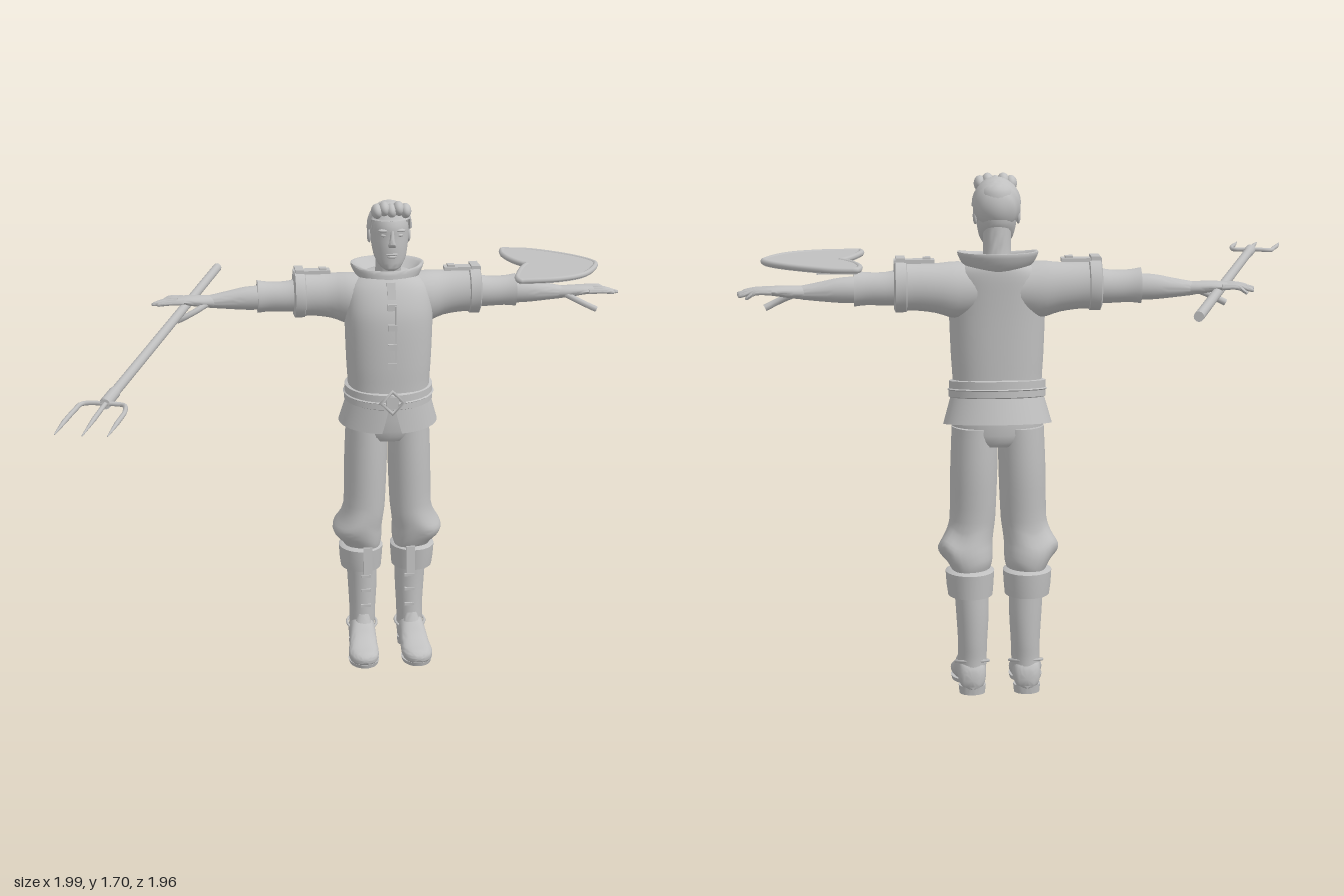
import * as THREE from 'three';
import { toCreasedNormals } from 'three/addons/utils/BufferGeometryUtils.js';
import { ParametricGeometry } from 'three/addons/geometries/ParametricGeometry.js';

const clay = new THREE.MeshStandardMaterial({ color: 0xc0c0c0, side: THREE.DoubleSide });
clay.name = 'clay grey';

// Smooth skin over elliptical sections [t, centreA, centreB, radiusA, radiusB] along one axis.
function loft(sections, { axis = 'y', sub = 3, seg = 28, power = 2, bend = null } = {}) {
  const rings = [];
  const at = i => sections[Math.min(Math.max(i, 0), sections.length - 1)];
  for (let i = 0; i < sections.length - 1; i++) {
    for (let k = 0; k < sub; k++) {
      const u = k / sub;
      rings.push(at(i).map((p1, c) => {
        const p0 = at(i - 1)[c], p2 = at(i + 1)[c], p3 = at(i + 2)[c];
        return p1 + 0.5 * u * (p2 - p0 + u * (2 * p0 - 5 * p1 + 4 * p2 - p3 + u * (3 * (p1 - p2) + p3 - p0)));
      }));
    }
  }
  rings.push(sections[sections.length - 1]);
  const pos = [], idx = [], n = rings.length;
  const add = (t, a, b) => {
    const p = axis === 'y' ? new THREE.Vector3(a, t, b) : axis === 'x' ? new THREE.Vector3(t, a, b) : new THREE.Vector3(a, b, t);
    if (bend) bend(p);
    pos.push(p.x, p.y, p.z);
  };
  const round = v => Math.sign(v) * Math.abs(v) ** (2 / power);
  const tri = (a, b, c) => (axis === 'y' ? idx.push(a, b, c) : idx.push(a, c, b));
  for (const [t, a, b, ra, rb] of rings) {
    for (let j = 0; j < seg; j++) {
      const w = (j / seg) * Math.PI * 2;
      add(t, a + ra * round(Math.cos(w)), b + rb * round(Math.sin(w)));
    }
  }
  add(...rings[0].slice(0, 3));
  add(...rings[n - 1].slice(0, 3));
  for (let j = 0; j < seg; j++) {
    const k = (j + 1) % seg;
    for (let i = 0; i < n - 1; i++) {
      const a = i * seg + j, b = i * seg + k;
      tri(a, a + seg, b);
      tri(b, a + seg, b + seg);
    }
    tri(n * seg, j, k);
    tri(n * seg + 1, (n - 1) * seg + k, (n - 1) * seg + j);
  }
  const g = new THREE.BufferGeometry();
  g.setAttribute('position', new THREE.Float32BufferAttribute(pos, 3));
  g.setIndex(idx);
  return toCreasedNormals(g, 0.9);
}

const v3 = p => new THREE.Vector3(...p);
const tube = (pts, r, seg = 12) => new THREE.TubeGeometry(new THREE.CatmullRomCurve3(pts.map(v3)), seg, r, 8);
const ball = (x, y, z, rx, ry, rz) => new THREE.SphereGeometry(1, 20, 14).scale(rx, ry, rz).translate(x, y, z);
const box = (x, y, z, w, h, d, tilt = 0) => new THREE.BoxGeometry(w, h, d).rotateX(tilt).translate(x, y, z);

function mirrored(geo) {
  const g = geo.index ? geo.toNonIndexed() : geo.clone();
  g.scale(-1, 1, 1);
  for (const name of ['position', 'normal']) {
    const a = g.attributes[name];
    for (let i = 0; i < a.count; i += 3) {
      const p = [a.getX(i + 1), a.getY(i + 1), a.getZ(i + 1)];
      a.setXYZ(i + 1, a.getX(i + 2), a.getY(i + 2), a.getZ(i + 2));
      a.setXYZ(i + 2, ...p);
    }
  }
  return g;
}

export function createModel() {
  const model = new THREE.Group();
  const body = new THREE.Group();
  body.name = 'figure';
  body.position.x = 0.163;
  model.add(body);
  const put = (name, geo, parent = body) => {
    const m = new THREE.Mesh(geo, clay);
    m.name = name;
    parent.add(m);
  };
  const pair = (name, geo) => {
    put(name + 'Left', geo);
    put(name + 'Right', mirrored(geo));
  };

  // Head and face
  put('neck', loft([[1.38, 0, -0.43, 0.055, 0.055], [1.45, 0, -0.42, 0.045, 0.05], [1.54, 0, -0.41, 0.046, 0.055]]));
  put('head', loft([[1.46, 0, -0.335, 0.016, 0.016], [1.472, 0, -0.348, 0.036, 0.037], [1.5, 0, -0.368, 0.054, 0.06],
    [1.54, 0, -0.385, 0.063, 0.08], [1.58, 0, -0.39, 0.067, 0.083], [1.62, 0, -0.393, 0.067, 0.085],
    [1.66, 0, -0.4, 0.056, 0.07], [1.685, 0, -0.4, 0.025, 0.03]]));
  put('nose', loft([[1.546, 0, -0.308, 0.012, 0.006], [1.555, 0, -0.306, 0.015, 0.014], [1.566, 0, -0.305, 0.01, 0.014],
    [1.605, 0, -0.312, 0.006, 0.008]], { seg: 12 }));
  put('upperLip', ball(0, 1.521, -0.311, 0.022, 0.005, 0.008));
  put('lowerLip', ball(0, 1.512, -0.313, 0.018, 0.006, 0.009));
  put('chin', ball(0, 1.475, -0.328, 0.02, 0.015, 0.016));
  pair('brow', ball(0.028, 1.604, -0.319, 0.02, 0.006, 0.012));
  pair('eye', ball(0.027, 1.587, -0.319, 0.012, 0.006, 0.008));
  pair('ear', ball(0.069, 1.57, -0.405, 0.008, 0.026, 0.016));

  // Swept hair with a higher hairline at the face
  const hair = new THREE.SphereGeometry(1, 48, 28);
  const hp = hair.attributes.position;
  for (let i = 0; i < hp.count; i++) {
    const x = hp.getX(i), y = hp.getY(i), z = hp.getZ(i);
    const wave = 1 + 0.025 * Math.sin(z * 14 + y * 5);
    const line = z > 0.45 ? 1.638 : z > -0.1 ? 1.6 : 1.54;
    hp.setXYZ(i, x * 0.078 * wave, Math.max(1.605 + y * 0.088 * wave, line), -0.394 + z * 0.088);
  }
  hair.computeVertexNormals();
  put('hair', hair);
  for (let i = 0; i < 5; i++) put('forelock', ball(-0.05 + i * 0.025, 1.668 + 0.008 * (i % 2), -0.342, 0.02, 0.026, 0.034));

  // Tunic
  put('torso', loft([[0.96, 0, -0.4, 0.145, 0.113], [1.04, 0, -0.4, 0.145, 0.114], [1.12, 0, -0.4, 0.15, 0.116],
    [1.25, 0, -0.403, 0.155, 0.116], [1.32, 0, -0.41, 0.155, 0.112], [1.385, 0, -0.425, 0.145, 0.1],
    [1.42, 0, -0.435, 0.11, 0.085], [1.435, 0, -0.435, 0.07, 0.065]], { power: 2.3, seg: 40 }));
  put('collar', loft([[1.4, 0, -0.435, 0.09, 0.085], [1.425, 0, -0.445, 0.115, 0.095], [1.458, 0, -0.453, 0.13, 0.1],
    [1.462, 0, -0.452, 0.12, 0.092], [1.44, 0, -0.442, 0.09, 0.075], [1.42, 0, -0.43, 0.05, 0.05]],
  { seg: 40, bend: p => { if (p.z > -0.43) p.y -= (p.z + 0.43) * 0.2; } }));
  put('collarTab', box(0, 1.385, -0.326, 0.03, 0.06, 0.012, -0.3));
  put('placket', box(0.012, 1.19, -0.287, 0.006, 0.3, 0.008));
  for (const y of [1.335, 1.265, 1.195, 1.125]) put('button', box(0, y, y > 1.3 ? -0.296 : -0.285, 0.032, 0.022, 0.016));

  // Skirt of the tunic, split at the front
  put('tunicSkirt', new ParametricGeometry((u, v, p) => {
    const gap = 0.03 + 0.17 * v, w = Math.PI / 2 + gap + u * (Math.PI * 2 - 2 * gap);
    const c = Math.cos(w), s = Math.sin(w);
    p.set(c * (0.147 + 0.03 * v), 1.0 - v * (0.105 + 0.018 * s), -0.4 - 0.014 * v + s * (0.117 + 0.018 * v));
  }, 48, 6));

  // Belt rising towards the back
  const tilt = p => { p.y -= (p.z + 0.4) * 0.12; };
  put('belt', loft([[0.978, 0, -0.4, 0.15, 0.118], [0.982, 0, -0.4, 0.158, 0.125], [1.034, 0, -0.4, 0.157, 0.124],
    [1.038, 0, -0.4, 0.148, 0.117]], { sub: 1, seg: 40, bend: tilt }));
  put('beltEdge', loft([[1.0, 0, -0.4, 0.155, 0.12], [1.006, 0, -0.4, 0.162, 0.129], [1.012, 0, -0.4, 0.155, 0.12]], { sub: 1, seg: 40, bend: tilt }));
  put('buckle', new THREE.TorusGeometry(0.04, 0.008, 6, 4).translate(0, 0.995, -0.272));
  put('buckleCentre', new THREE.CylinderGeometry(0.03, 0.034, 0.01, 4).rotateX(Math.PI / 2).rotateZ(Math.PI / 4).translate(0, 0.995, -0.274));

  // Arms
  pair('sleeve', loft([[0.03, 1.34, -0.43, 0.08, 0.08], [0.13, 1.337, -0.44, 0.092, 0.082], [0.2, 1.345, -0.453, 0.08, 0.068],
    [0.27, 1.35, -0.455, 0.076, 0.064], [0.32, 1.35, -0.455, 0.08, 0.067]], { axis: 'x' }));
  pair('sleeveCuff', loft([[0.29, 1.352, -0.455, 0.074, 0.062], [0.294, 1.352, -0.455, 0.083, 0.071], [0.328, 1.353, -0.455, 0.085, 0.073],
    [0.333, 1.353, -0.455, 0.074, 0.063]], { axis: 'x', sub: 1 }));
  pair('innerSleeve', loft([[0.31, 1.35, -0.455, 0.06, 0.055], [0.36, 1.345, -0.455, 0.054, 0.05], [0.42, 1.346, -0.455, 0.053, 0.047],
    [0.46, 1.347, -0.455, 0.058, 0.052]], { axis: 'x' }));
  pair('forearm', loft([[0.43, 1.343, -0.455, 0.043, 0.04], [0.5, 1.342, -0.455, 0.041, 0.038], [0.57, 1.338, -0.453, 0.031, 0.031],
    [0.63, 1.335, -0.45, 0.022, 0.026]], { axis: 'x' }));
  pair('hand', loft([[0.61, 1.335, -0.45, 0.022, 0.026], [0.65, 1.337, -0.45, 0.021, 0.034], [0.7, 1.341, -0.451, 0.017, 0.04],
    [0.74, 1.342, -0.452, 0.012, 0.038]], { axis: 'x', seg: 16 }));
  [[-0.415, 0.815], [-0.44, 0.832], [-0.465, 0.828], [-0.488, 0.805]].forEach(([z, tip], i) => {
    pair('finger', loft([[0.72, 1.342, z, 0.01, 0.01], [0.77, 1.342, z, 0.009, 0.009],
      [tip - 0.008, 1.337 - 0.004 * i, z, 0.007, 0.007], [tip, 1.336 - 0.004 * i, z, 0.002, 0.002]], { axis: 'x', seg: 8 }));
  });
  pair('thumb', tube([[0.64, 1.33, -0.43], [0.68, 1.312, -0.408], [0.715, 1.295, -0.402], [0.745, 1.28, -0.405]], 0.011));

  // Shoulder straps
  pair('shoulderStrap', box(0.268, 1.433, -0.455, 0.13, 0.012, 0.045));
  pair('strapEnd', box(0.228, 1.44, -0.455, 0.025, 0.012, 0.03));
  pair('strapBand', box(0.312, 1.44, -0.455, 0.03, 0.012, 0.075));

  // Trousers
  put('hips', loft([[0.83, 0, -0.42, 0.1, 0.08], [0.87, 0, -0.42, 0.148, 0.096], [1.0, 0, -0.41, 0.14, 0.1]]));
  pair('trouserLeg', loft([[0.4, 0.092, -0.437, 0.06, 0.07], [0.43, 0.095, -0.435, 0.074, 0.085], [0.465, 0.105, -0.43, 0.086, 0.092],
    [0.495, 0.108, -0.425, 0.089, 0.092], [0.53, 0.094, -0.42, 0.079, 0.086], [0.58, 0.084, -0.418, 0.075, 0.083],
    [0.74, 0.079, -0.422, 0.077, 0.092], [0.89, 0.075, -0.423, 0.075, 0.092]],
  { bend: p => { if (p.y < 0.57) p.y += 0.012 * Math.sin(p.x * 40 + p.z * 25); } }));

  // Boots
  pair('bootCuff', loft([[0.325, 0.092, -0.442, 0.058, 0.065], [0.33, 0.093, -0.442, 0.073, 0.088], [0.365, 0.094, -0.441, 0.077, 0.092],
    [0.41, 0.094, -0.44, 0.08, 0.096], [0.418, 0.094, -0.44, 0.066, 0.08]], { sub: 1 }));
  pair('cuffFlap', box(0.078, 0.375, -0.345, 0.032, 0.1, 0.012, -0.08));
  pair('bootShaft', loft([[0.04, 0.09, -0.452, 0.045, 0.052], [0.11, 0.088, -0.445, 0.047, 0.057], [0.17, 0.087, -0.448, 0.048, 0.06],
    [0.26, 0.087, -0.45, 0.053, 0.062], [0.35, 0.09, -0.448, 0.056, 0.064]]));
  pair('bootFoot', loft([[-0.508, 0.09, 0.05, 0.022, 0.03], [-0.49, 0.09, 0.06, 0.042, 0.05], [-0.44, 0.09, 0.073, 0.047, 0.063],
    [-0.385, 0.092, 0.068, 0.048, 0.06], [-0.34, 0.095, 0.045, 0.052, 0.042], [-0.29, 0.098, 0.033, 0.055, 0.03],
    [-0.25, 0.098, 0.029, 0.042, 0.024], [-0.232, 0.098, 0.027, 0.015, 0.01]], { axis: 'z', power: 2.4 }));
  pair('heel', loft([[0, 0.09, -0.468, 0.042, 0.038], [0.028, 0.09, -0.468, 0.045, 0.041]], { sub: 1 }));
  pair('sole', loft([[0, 0.097, -0.305, 0.052, 0.07], [0.014, 0.097, -0.305, 0.056, 0.074]], { sub: 1 }));
  pair('instepPlate', loft([[0.06, 0.092, -0.36, 0.036, 0.03], [0.1, 0.09, -0.385, 0.034, 0.022], [0.15, 0.088, -0.398, 0.02, 0.012]], { seg: 16 }));
  pair('ankleStrap', new THREE.TorusGeometry(0.054, 0.005, 6, 28).rotateX(Math.PI / 2).rotateX(0.25).translate(0.089, 0.1, -0.443));
  for (const y of [0.185, 0.245, 0.3]) pair('bootLace', box(0.08, y, -0.389, 0.036, 0.01, 0.012));

  // Pitchfork
  const fork = new THREE.Group();
  fork.name = 'pitchfork';
  model.add(fork);
  const root = [-0.845, 1.315, 0.67];
  const shaft = new THREE.LineCurve3(v3([-0.41, 1.325, -0.98]), v3(root));
  put('shaft', new THREE.TubeGeometry(shaft, 1, 0.016, 12), fork);
  for (const [t, s] of [[0, -1], [1, 1]]) {
    const p = shaft.getPoint(t);
    put('shaftEnd', new THREE.CylinderGeometry(0.016, 0.016, 0.01, 12).rotateX(s * Math.PI / 2).rotateY(-0.258).translate(p.x, p.y, p.z), fork);
  }
  put('shaftSocket', new THREE.TubeGeometry(new THREE.LineCurve3(shaft.getPoint(0.93), shaft.getPoint(1)), 1, 0.019, 12), fork);
  const tines = [
    [root, [-0.885, 1.315, 0.656], [-0.915, 1.313, 0.655], [-0.938, 1.312, 0.715], [-0.97, 1.308, 0.82]],
    [[-0.842, 1.315, 0.66], [-0.88, 1.311, 0.81]],
    [root, [-0.82, 1.315, 0.674], [-0.789, 1.313, 0.685], [-0.786, 1.312, 0.745], [-0.812, 1.308, 0.85]]];
  const tips = [[-0.998, 1.305, 0.93], [-0.917, 1.305, 0.955], [-0.842, 1.305, 0.968]];
  tines.forEach((path, i) => {
    put('tine', tube(path, 0.0075, 20), fork);
    const a = v3(path[path.length - 1]), d = v3(tips[i]).sub(a);
    const point = new THREE.CylinderGeometry(0.002, 0.0075, d.length(), 8);
    point.applyQuaternion(new THREE.Quaternion().setFromUnitVectors(v3([0, 1, 0]), d.clone().normalize()));
    put('tineTip', point.translate(a.x + d.x / 2, a.y + d.y / 2, a.z + d.z / 2), fork);
  });

  // Crescent shield above the left forearm
  const shield = new THREE.Group();
  shield.name = 'shield';
  shield.position.z = -0.457;
  model.add(shield);
  const outline = new THREE.Shape();
  outline.moveTo(0.615, 0.23);
  outline.splineThru([[0.715, 0.205], [0.83, 0.115], [0.9, 0.02], [0.9, -0.05], [0.835, -0.165], [0.73, -0.22], [0.6, -0.23]]
    .map(p => new THREE.Vector2(...p)));
  outline.lineTo(0.598, -0.185);
  outline.quadraticCurveTo(0.625, -0.07, 0.665, 0);
  outline.quadraticCurveTo(0.61, 0.07, 0.605, 0.17);
  outline.closePath();
  put('shieldPlate', new THREE.ExtrudeGeometry(outline, { depth: 0.018, bevelEnabled: false, curveSegments: 8 })
    .rotateX(-Math.PI / 2).translate(0, 1.424, 0), shield);
  const edge = outline.getPoints(8).slice(0, -1).map(p => new THREE.Vector3(p.x, 1.436, -p.y));
  put('shieldRim', new THREE.TubeGeometry(new THREE.CatmullRomCurve3(edge, true), 120, 0.01, 8, true), shield);
  put('shieldGrip', box(0.69, 1.402, 0, 0.1, 0.012, 0.05), shield);
  for (const x of [0.65, 0.73]) put('gripPost', box(x, 1.413, 0, 0.012, 0.026, 0.04), shield);

  return model;
}
